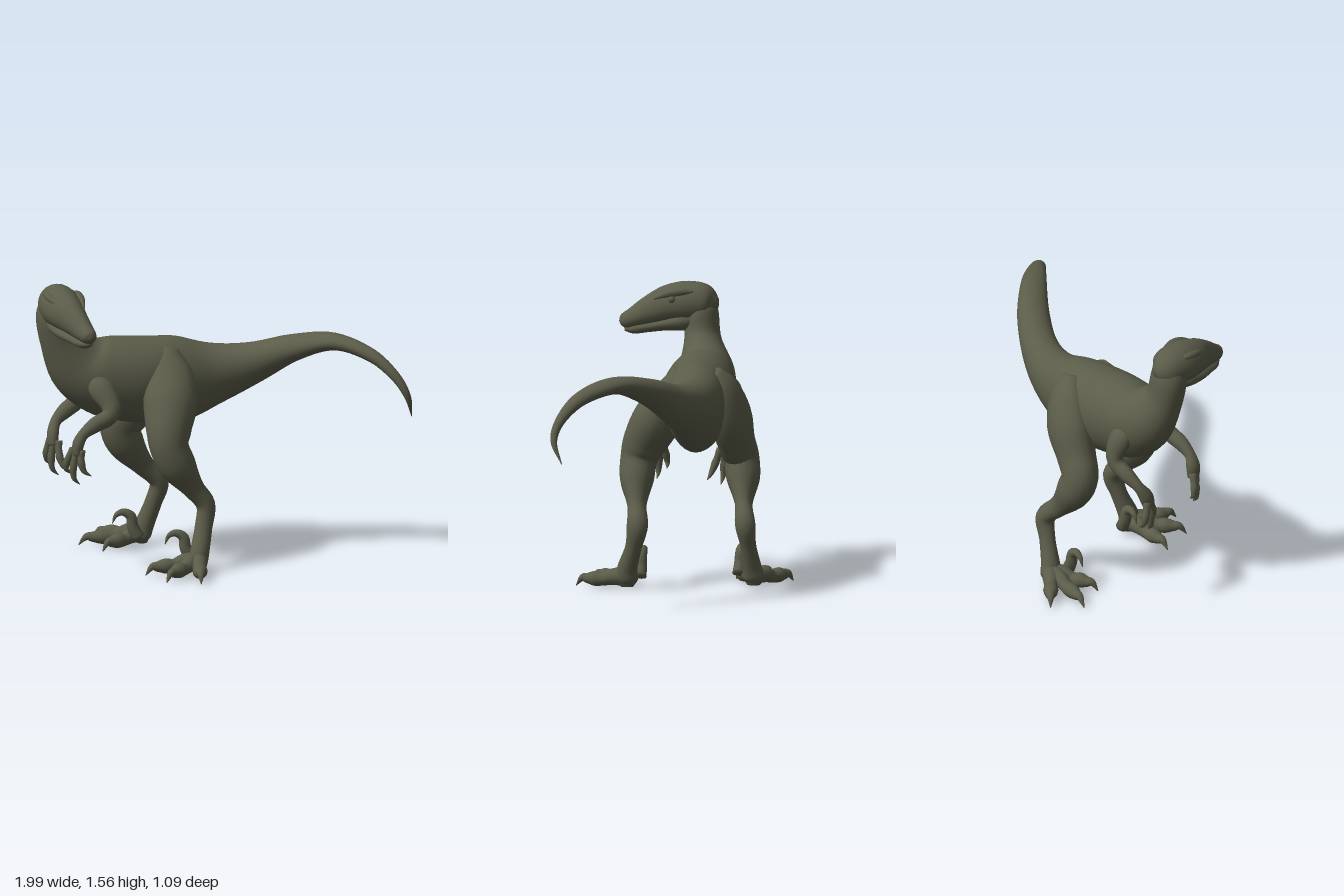
import * as THREE from 'three';

const hide = new THREE.MeshStandardMaterial({ color: 0x5b5c49 });
hide.name = 'olive hide';

const Z = new THREE.Vector3(0, 0, 1), Y = new THREE.Vector3(0, 1, 0), NX = new THREE.Vector3(-1, 0, 0);

// Smooth skin through cross-sections [x, y, z, rUp, rSide, taper]; hint points along rSide
function loft(name, rows, hint = Z, sides = 20, steps = 5) {
  const path = new THREE.CatmullRomCurve3(rows.map(r => new THREE.Vector3(r[0], r[1], r[2])), false, 'catmullrom', 0.5);
  const size = new THREE.CatmullRomCurve3(rows.map(r => new THREE.Vector3(r[3], r[4] ?? r[3], r[5] ?? 0)), false, 'catmullrom', 0.5);
  const n = (rows.length - 1) * steps, pos = [], idx = [];
  const ring = (t, scale) => {
    const c = path.getPoint(t), T = path.getTangent(t), r = size.getPoint(t);
    const S = hint.clone().addScaledVector(T, -hint.dot(T)).normalize();
    const U = S.clone().cross(T);
    for (let j = 0; j < sides; j++) {
      const a = j / sides * Math.PI * 2, cos = Math.cos(a);
      const p = c.clone().addScaledVector(U, scale * Math.max(r.x, 0.001) * cos)
        .addScaledVector(S, scale * Math.max(r.y, 0.001) * Math.sin(a) * (1 - r.z * cos));
      pos.push(p.x, p.y, p.z);
    }
  };
  ring(0, 0);
  for (let i = 0; i <= n; i++) ring(i / n, 1);
  ring(1, 0);
  for (let i = 0; i < n + 2; i++) for (let j = 0; j < sides; j++) {
    const k = (j + 1) % sides, a = i * sides + j, b = i * sides + k;
    idx.push(a, b, a + sides, b, b + sides, a + sides);
  }
  const g = new THREE.BufferGeometry();
  g.setAttribute('position', new THREE.Float32BufferAttribute(pos, 3));
  g.setIndex(idx);
  g.computeVertexNormals();
  const m = new THREE.Mesh(g, hide);
  m.name = name;
  return m;
}

// Toe with a knuckled pad and a hooked claw, from foot centre to claw tip on the ground
function toe([x0, z0], [x1, z1]) {
  const at = (f, y, r) => [x0 + (x1 - x0) * f, y, z0 + (z1 - z0) * f, r];
  return loft('toe', [at(0, 0.07, 0.05), at(0.25, 0.07, 0.046), at(0.45, 0.055, 0.036), at(0.62, 0.055, 0.041),
    at(0.76, 0.055, 0.03), at(0.88, 0.055, 0.019), at(1, 0.012, 0.002)], Y, 12, 4);
}

function finger([x0, y0, z0], [x1, y1, z1]) {
  const at = (f, out, r) => [x0 + (x1 - x0) * f - out, y0 + (y1 - y0) * f, z0 + (z1 - z0) * f, r];
  return loft('finger', [at(0, 0, 0.022), at(0.3, 0.015, 0.019), at(0.5, 0.022, 0.021), at(0.72, 0.022, 0.016),
    at(0.85, 0.015, 0.012), at(1, -0.012, 0.002)], Z, 10, 3);
}

function leg(name, rows, foot, tips, sickle) {
  const g = new THREE.Group();
  g.name = name;
  g.add(loft('thighShinAndAnkle', rows));
  tips.forEach(t => g.add(toe(foot, t)));
  const [x, z] = sickle;
  g.add(loft('sickleClaw', [[x + 0.04, 0.07, z, 0.035], [x + 0.01, 0.13, z, 0.032], [x, 0.185, z, 0.028],
    [x - 0.04, 0.21, z, 0.021], [x - 0.08, 0.195, z, 0.013], [x - 0.1, 0.15, z, 0.002]], Z, 12, 4));
  return g;
}

function arm(name, rows, palm, tips) {
  const g = new THREE.Group();
  g.name = name;
  g.add(loft('upperArmAndForearm', rows, Z, 14));
  tips.forEach((t, i) => g.add(finger([palm[0] + (i - 1) * 0.02, palm[1], palm[2] + (i - 1) * 0.018], t)));
  return g;
}

export function createModel() {
  const model = new THREE.Group();
  model.name = 'raptor';

  // Neck, torso and tail in one skin
  model.add(loft('neckBodyAndTail', [
    [-0.885, 1.50, 0.04, 0.06, 0.06],
    [-0.89, 1.41, 0.035, 0.105, 0.09],
    [-0.86, 1.26, 0.02, 0.115, 0.1],
    [-0.76, 1.11, -0.02, 0.175, 0.155],
    [-0.62, 1.035, -0.035, 0.22, 0.185, -0.08],
    [-0.42, 1.0, -0.06, 0.235, 0.195, -0.08],
    [-0.21, 0.985, -0.1, 0.235, 0.165, -0.12],
    [0, 1.01, -0.115, 0.165, 0.128, -0.12],
    [0.2, 1.07, -0.08, 0.112, 0.1, -0.1],
    [0.4, 1.165, 0.01, 0.072, 0.088],
    [0.6, 1.225, 0.145, 0.046, 0.068],
    [0.78, 1.18, 0.285, 0.036, 0.045],
    [0.9, 1.08, 0.37, 0.027, 0.028],
    [0.965, 0.97, 0.395, 0.018, 0.018],
    [0.993, 0.85, 0.345, 0.002, 0.002],
  ], Z, 32, 6));

  // Head turned to the side: skull, jaw, brows and eyes
  const head = new THREE.Group();
  head.name = 'head';
  head.add(loft('skull', [
    [-0.89, 1.45, -0.055, 0.03, 0.03],
    [-0.89, 1.455, 0, 0.095, 0.09],
    [-0.875, 1.46, 0.1, 0.113, 0.108, 0.05],
    [-0.85, 1.45, 0.2, 0.103, 0.098, 0.1],
    [-0.81, 1.415, 0.3, 0.08, 0.07, 0.12],
    [-0.775, 1.38, 0.38, 0.055, 0.053, 0.1],
    [-0.755, 1.36, 0.43, 0.04, 0.038],
    [-0.75, 1.352, 0.45, 0.012, 0.012],
  ], NX, 24));
  head.add(loft('lowerJaw', [
    [-0.875, 1.37, 0.05, 0.05, 0.07],
    [-0.86, 1.36, 0.13, 0.055, 0.09],
    [-0.84, 1.345, 0.22, 0.04, 0.08],
    [-0.805, 1.33, 0.31, 0.032, 0.06],
    [-0.775, 1.32, 0.38, 0.028, 0.046],
    [-0.757, 1.32, 0.425, 0.012, 0.02],
  ], NX, 18));
  for (const s of [-1, 1]) {
    head.add(loft('brow', [
      [-0.875 + s * 0.075, 1.525, 0.06, 0.006],
      [-0.865 + s * 0.082, 1.525, 0.12, 0.02],
      [-0.85 + s * 0.078, 1.515, 0.19, 0.02],
      [-0.825 + s * 0.058, 1.485, 0.27, 0.005],
    ], NX, 10));
    const eye = new THREE.Mesh(new THREE.SphereGeometry(0.022, 14, 10), hide);
    eye.name = 'eye';
    eye.position.set(-0.855 + s * 0.084, 1.485, 0.17);
    head.add(eye);
  }
  model.add(head);

  // Legs: sections run hip, thigh, knee, ankle, foot
  model.add(leg('leftLeg', [
    [-0.27, 1.18, 0.0, 0.05, 0.04], [-0.28, 1.08, 0.04, 0.12, 0.085], [-0.28, 0.93, 0.12, 0.148, 0.13],
    [-0.3, 0.79, 0.2, 0.125, 0.12], [-0.3, 0.69, 0.235, 0.105, 0.1], [-0.25, 0.58, 0.235, 0.098, 0.09],
    [-0.17, 0.46, 0.215, 0.06, 0.052], [-0.1, 0.36, 0.195, 0.052, 0.058], [-0.115, 0.24, 0.22, 0.048, 0.045],
    [-0.14, 0.12, 0.26, 0.052, 0.055], [-0.15, 0.06, 0.265, 0.05, 0.06], [-0.15, 0.02, 0.265, 0.03, 0.035],
  ], [-0.15, 0.265], [[-0.17, 0.55], [-0.35, 0.5], [-0.44, 0.32]], [-0.22, 0.2]));
  model.add(leg('rightLeg', [
    [-0.27, 1.18, -0.18, 0.05, 0.04], [-0.3, 1.08, -0.225, 0.12, 0.085], [-0.36, 0.93, -0.255, 0.15, 0.11],
    [-0.44, 0.79, -0.265, 0.125, 0.1], [-0.5, 0.69, -0.28, 0.108, 0.095], [-0.46, 0.58, -0.3, 0.098, 0.09],
    [-0.37, 0.46, -0.325, 0.06, 0.048], [-0.28, 0.36, -0.355, 0.052, 0.055], [-0.31, 0.24, -0.365, 0.047, 0.042],
    [-0.355, 0.12, -0.375, 0.052, 0.05], [-0.37, 0.06, -0.38, 0.05, 0.06], [-0.37, 0.02, -0.38, 0.03, 0.035],
  ], [-0.37, -0.38], [[-0.61, -0.54], [-0.71, -0.39], [-0.6, -0.23]], [-0.44, -0.29]));

  // Arms: sections run shoulder, elbow, wrist, palm
  model.add(arm('leftArm', [
    [-0.69, 1.08, 0.09, 0.03], [-0.66, 1.01, 0.13, 0.068, 0.055], [-0.61, 0.92, 0.185, 0.055, 0.045],
    [-0.625, 0.865, 0.21, 0.047, 0.042], [-0.7, 0.83, 0.235, 0.043, 0.038], [-0.765, 0.785, 0.25, 0.03],
    [-0.795, 0.73, 0.25, 0.032, 0.04], [-0.8, 0.67, 0.25, 0.025, 0.035],
  ], [-0.8, 0.7, 0.25], [[-0.84, 0.56, 0.21], [-0.8, 0.51, 0.255], [-0.74, 0.56, 0.285]]));
  model.add(arm('rightArm', [
    [-0.74, 1.09, -0.12, 0.03], [-0.735, 1.02, -0.165, 0.068, 0.055], [-0.72, 0.92, -0.2, 0.055, 0.045],
    [-0.74, 0.86, -0.2, 0.047, 0.042], [-0.81, 0.81, -0.175, 0.043, 0.038], [-0.865, 0.76, -0.145, 0.03],
    [-0.885, 0.7, -0.11, 0.032, 0.04], [-0.885, 0.64, -0.09, 0.025, 0.035],
  ], [-0.88, 0.67, -0.095], [[-0.89, 0.52, -0.15], [-0.87, 0.48, -0.08], [-0.81, 0.51, -0.02]]));

  return model;
}
